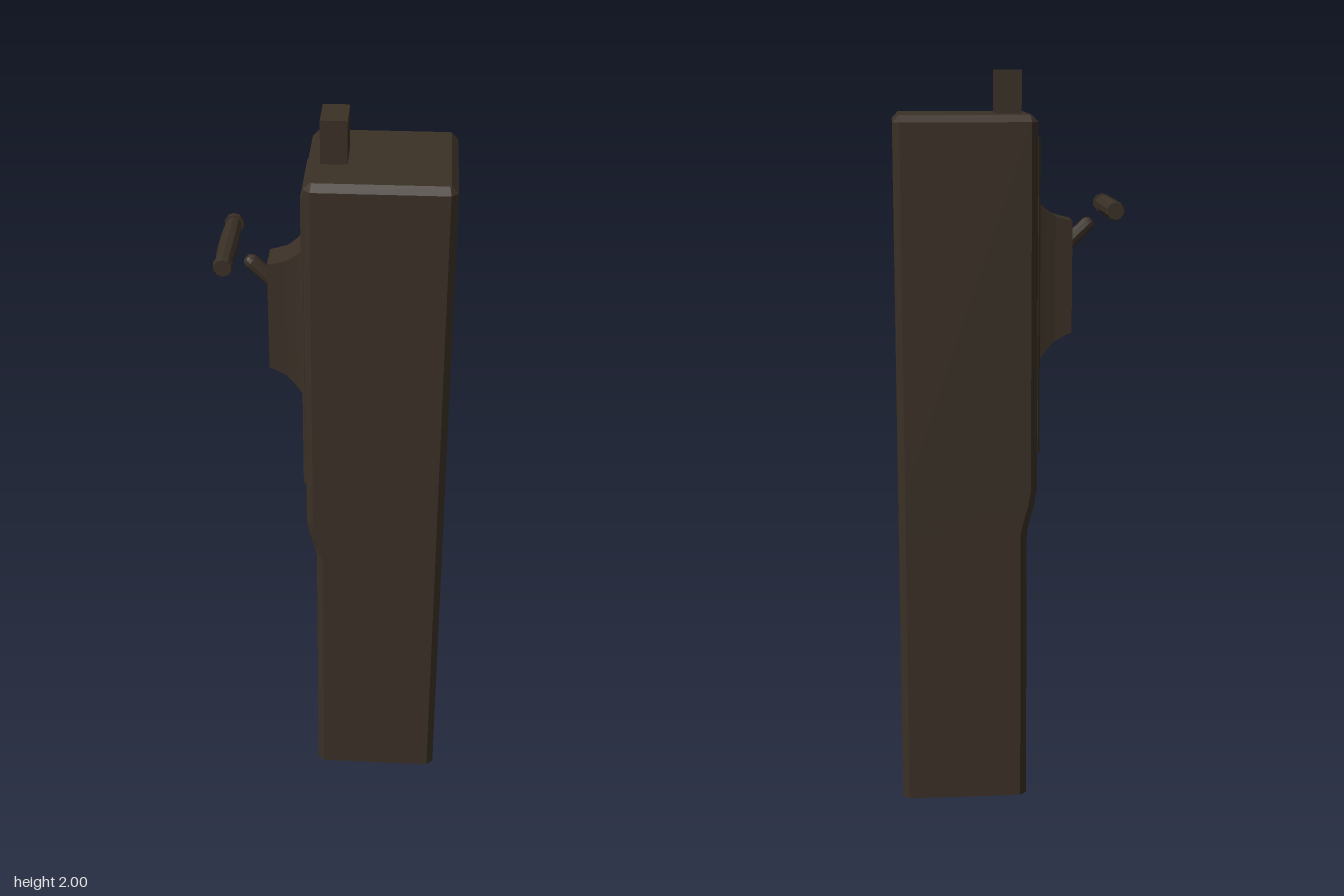
import * as THREE from 'three';

const darkWood = new THREE.MeshStandardMaterial({ color: 0x3a3026, flatShading: true });

// Skin a stack of equal-length rings (counter-clockwise seen from the last ring) and cap both ends
function loft(rings) {
  const n = rings[0].length, pos = [];
  const tri = (a, b, c) => pos.push(...a, ...b, ...c);
  for (let k = 0; k < rings.length - 1; k++) {
    const lo = rings[k], hi = rings[k + 1];
    for (let i = 0; i < n; i++) {
      const j = (i + 1) % n;
      tri(lo[i], lo[j], hi[j]);
      tri(lo[i], hi[j], hi[i]);
    }
  }
  const first = rings[0], last = rings[rings.length - 1];
  for (let i = 1; i < n - 1; i++) {
    tri(first[0], first[i + 1], first[i]);
    tri(last[0], last[i], last[i + 1]);
  }
  const g = new THREE.BufferGeometry();
  g.setAttribute('position', new THREE.Float32BufferAttribute(pos, 3));
  g.computeVertexNormals();
  return g;
}

// Rectangle with cut corners, lying at height y
function cutRect(x0, x1, d, c, y) {
  return [
    [x0 + c, d], [x1 - c, d], [x1, d - c], [x1, c - d],
    [x1 - c, -d], [x0 + c, -d], [x0, c - d], [x0, d - c],
  ].map(([x, z]) => [x, y, z]);
}

// Upright rectangle in the plane x, for parts growing toward -x
function sideRect(x, y0, y1, d) {
  return [[x, y0, -d], [x, y0, d], [x, y1, d], [x, y1, -d]];
}

export function createModel() {
  const model = new THREE.Group();
  model.name = 'leverPost';
  const add = (name, geometry) => {
    const mesh = new THREE.Mesh(geometry, darkWood);
    mesh.name = name;
    model.add(mesh);
    return mesh;
  };

  // Tall post: the lever side steps out above the lower third
  const steps = [[0, -0.045], [0.77, -0.045], [0.8, -0.051], [0.85, -0.065], [0.89, -0.072], [1.87, -0.072]];
  const rings = steps.map(([y, x]) => cutRect(x, 0.303, 0.188, 0.018, y));
  rings.push(cutRect(-0.055, 0.286, 0.171, 0.004, 1.888));
  add('post', loft(rings));

  // Block on top
  add('topBlock', new THREE.BoxGeometry(0.068, 0.13, 0.112)).position.set(-0.004, 1.935, -0.001);

  // Raised panel on the lever side
  add('sidePanel', loft([
    sideRect(-0.065, 0.98, 1.83, 0.126),
    sideRect(-0.078, 0.98, 1.83, 0.126),
    sideRect(-0.083, 0.985, 1.825, 0.121),
  ]));

  // Flared housing that holds the lever
  add('leverHousing', loft([
    sideRect(-0.075, 1.215, 1.665, 0.065),
    sideRect(-0.083, 1.222, 1.657, 0.062),
    sideRect(-0.105, 1.252, 1.635, 0.055),
    sideRect(-0.13, 1.278, 1.617, 0.049),
    sideRect(-0.155, 1.291, 1.61, 0.047),
    sideRect(-0.177, 1.3, 1.605, 0.045),
  ]));

  // Slanted lever stub with a rounded tip
  const stubProfile = [[0, 0], [0.02, 0], [0.02, 0.115], [0.017, 0.123], [0.011, 0.129], [0, 0.13]];
  const stub = add('leverStub', new THREE.LatheGeometry(stubProfile.map(p => new THREE.Vector2(...p)), 10));
  stub.position.set(-0.14, 1.513, 0);
  stub.rotation.z = 0.81;

  // Crosswise grip: barrel swelling at the middle, with end collars
  const half = [[0.0255, 0.03], [0.024, 0.075], [0.021, 0.118], [0.026, 0.118], [0.026, 0.128], [0.023, 0.14], [0, 0.14]];
  const gripProfile = [...half.map(([r, y]) => [r, -y]).reverse(), ...half];
  const grip = add('grip', new THREE.LatheGeometry(gripProfile.map(p => new THREE.Vector2(...p)), 10));
  grip.position.set(-0.279, 1.638, -0.001);
  grip.rotation.x = Math.PI / 2;

  return model;
}
